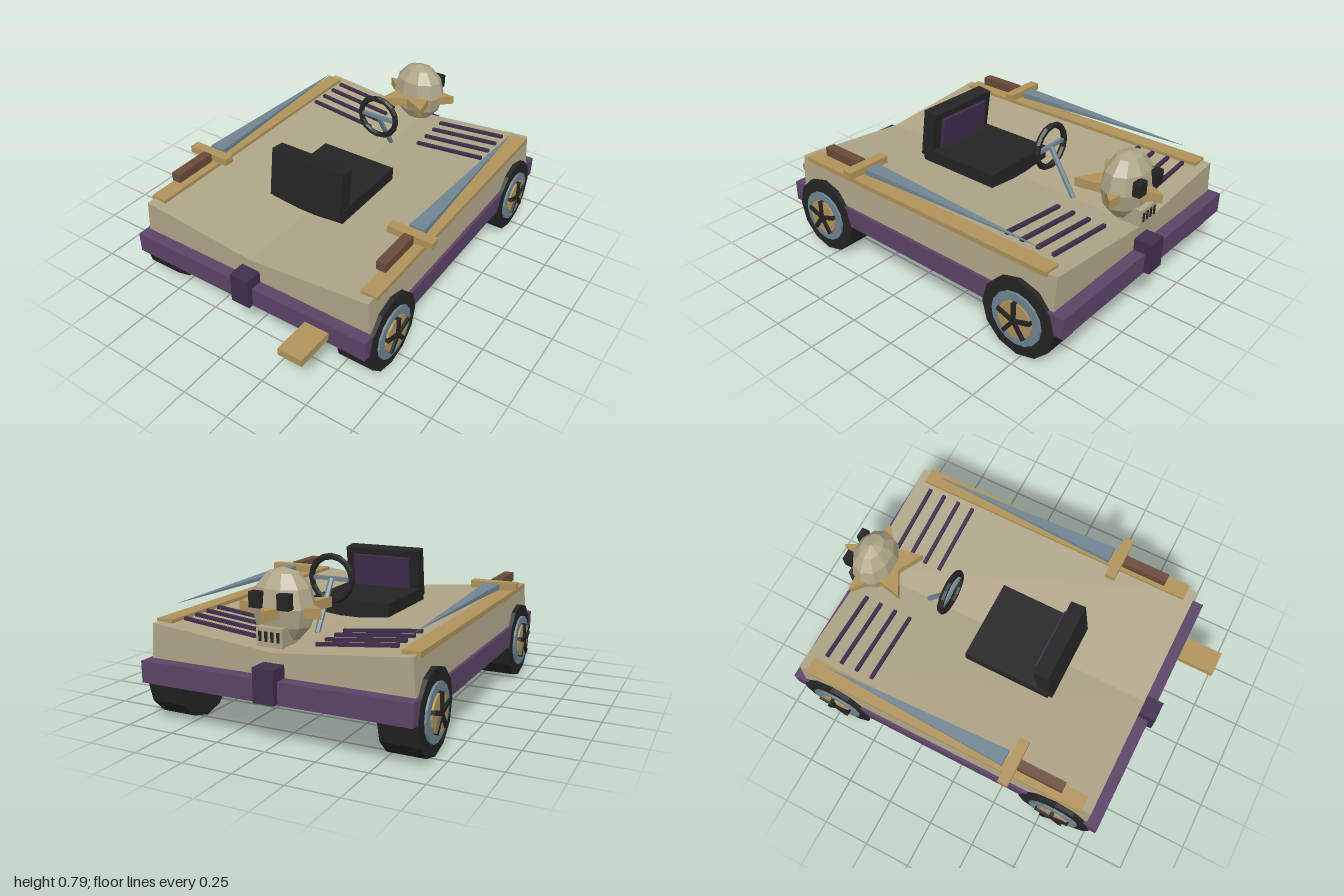
import * as THREE from 'three';

const mat = (name, color) => {
  const m = new THREE.MeshStandardMaterial({ color, flatShading: true });
  m.name = name;
  return m;
};

export function createModel() {
  const bone = mat('bone', 0xaea587), gold = mat('gold', 0xb0935a);
  const purple = mat('purple', 0x5b4466), darkPurple = mat('dark purple', 0x402e4c);
  const steel = mat('steel', 0x6f8591), brown = mat('brown', 0x6a4a3a), black = mat('black', 0x242424);
  const root = new THREE.Group();
  root.name = 'cart';

  const add = (name, geo, material, x = 0, y = 0, z = 0, parent = root) => {
    const m = new THREE.Mesh(geo, material);
    m.name = name;
    m.position.set(x, y, z);
    parent.add(m);
    return m;
  };
  const box = (name, material, w, h, d, x, y, z, parent) =>
    add(name, new THREE.BoxGeometry(w, h, d), material, x, y, z, parent);
  const group = (name, x = 0, y = 0, z = 0) => {
    const g = new THREE.Group();
    g.name = name;
    g.position.set(x, y, z);
    root.add(g);
    return g;
  };
  const disc = (r, w, sides) => new THREE.CylinderGeometry(r, r, w, sides).rotateZ(Math.PI / 2);

  // Chassis, end clasps and step
  box('chassis', purple, 1.36, 0.105, 1.77, 0, 0.2625, -0.085);
  box('frontClasp', darkPurple, 0.105, 0.16, 0.1, 0, 0.295, 0.78);
  box('backClasp', darkPurple, 0.105, 0.16, 0.1, 0, 0.295, -0.95);
  box('step', gold, 0.13, 0.038, 0.22, 0.42, 0.254, 0.89);

  // Body with a shallow V-shaped deck
  const deck = new THREE.Shape([[-0.665, 0.31], [0.665, 0.31], [0.65, 0.484], [0, 0.42], [-0.65, 0.484]]
    .map(([x, y]) => new THREE.Vector2(x, y)));
  add('body', new THREE.ExtrudeGeometry(deck, { depth: 1.645, bevelEnabled: false }), bone, 0, 0, -0.907);

  for (const s of [-1, 1]) {
    // Wheels
    for (const z of [0.565, -0.725]) {
      const wheel = group('wheel', 0, 0.2, z);
      add('tire', disc(0.2, 0.183, 12), black, s * 0.5915, 0, 0, wheel);
      add('rim', disc(0.136, 0.03, 16), steel, s * 0.679, 0, 0, wheel);
      add('hubcap', disc(0.093, 0.03, 16), gold, s * 0.688, 0, 0, wheel);
      for (let i = 0; i < 5; i++) {
        const a = i * Math.PI * 2 / 5;
        const spoke = box('spoke', black, 0.03, 0.095, 0.02, s * 0.7,
          Math.cos(a) * 0.0475, Math.sin(a) * 0.0475, wheel);
        spoke.rotation.x = a;
      }
    }

    // Side rail
    box('rail', gold, 0.085, 0.025, 1.55, s * 0.622, 0.483, -0.085);

    // Sword: tapering blade, guard and grip
    const sword = group('sword', s * 0.607, 0.555, 0);
    const q = Math.PI / 4, r = 0.038 * Math.SQRT2;
    add('blade', new THREE.ConeGeometry(r, 0.98, 4, 1, false, q).rotateX(-Math.PI / 2).scale(1, 0.36, 1),
      steel, 0, 0, -0.3, sword);
    add('bladeBase', new THREE.CylinderGeometry(r, r * 1.1, 0.065, 4, 1, false, q).rotateX(-Math.PI / 2)
      .scale(1, 0.36, 1), steel, 0, 0, 0.2225, sword);
    box('guard', gold, 0.24, 0.038, 0.053, 0, 0, 0.3, sword);
    box('grip', brown, 0.05, 0.046, 0.24, 0, 0, 0.45, sword);

    // Hood slats following the deck slope
    for (const z of [-0.805, -0.72, -0.632, -0.545])
      box('slat', darkPurple, 0.392, 0.016, 0.018, s * 0.35, 0.475, z).rotation.z = s * 0.105;
  }

  // Seat
  box('seatBase', black, 0.43, 0.085, 0.47, 0, 0.4675, 0.055);
  const back = group('seatBack', 0, 0.59, 0.257);
  back.rotation.x = -0.13;
  box('backrest', black, 0.42, 0.26, 0.08, 0, 0, 0, back);
  box('backCushion', darkPurple, 0.32, 0.18, 0.02, 0, 0.005, -0.048, back);

  // Steering wheel, crossbar and column
  const steering = group('steering', 0, 0.655, -0.37);
  add('steeringWheel', new THREE.TorusGeometry(0.108, 0.016, 6, 16), black, 0, 0, 0, steering);
  box('crossbar', steel, 0.2, 0.02, 0.016, 0, 0, 0, steering);
  const column = add('column', new THREE.CylinderGeometry(0.014, 0.014, 0.28, 6), steel, 0, -0.12, -0.075, steering);
  column.rotation.x = 0.56;

  // Skull ornament facing the rear end of the frame
  const skull = group('skull', 0, 0.615, -0.813);
  add('cranium', new THREE.SphereGeometry(1, 10, 6).scale(0.153, 0.17, 0.113), bone, 0, 0, 0, skull);
  box('jaw', bone, 0.13, 0.085, 0.13, 0, -0.118, -0.06, skull);
  for (const s of [-1, 1]) box('eye', black, 0.058, 0.07, 0.04, s * 0.07, 0.04, -0.106, skull);
  for (const x of [-0.045, -0.015, 0.015, 0.045])
    box('toothGap', black, 0.014, 0.045, 0.006, x, -0.115, -0.126, skull);

  // Star collar lying flat, one point toward -z
  const pts = [];
  for (let i = 0; i < 10; i++) {
    const a = Math.PI / 2 + i * Math.PI / 5, rr = i % 2 ? 0.105 : 0.217;
    pts.push(new THREE.Vector2(Math.cos(a) * rr, Math.sin(a) * rr));
  }
  add('star', new THREE.ExtrudeGeometry(new THREE.Shape(pts), { depth: 0.046, bevelEnabled: false })
    .rotateX(-Math.PI / 2), gold, 0, 0.577, -0.783);

  return root;
}
